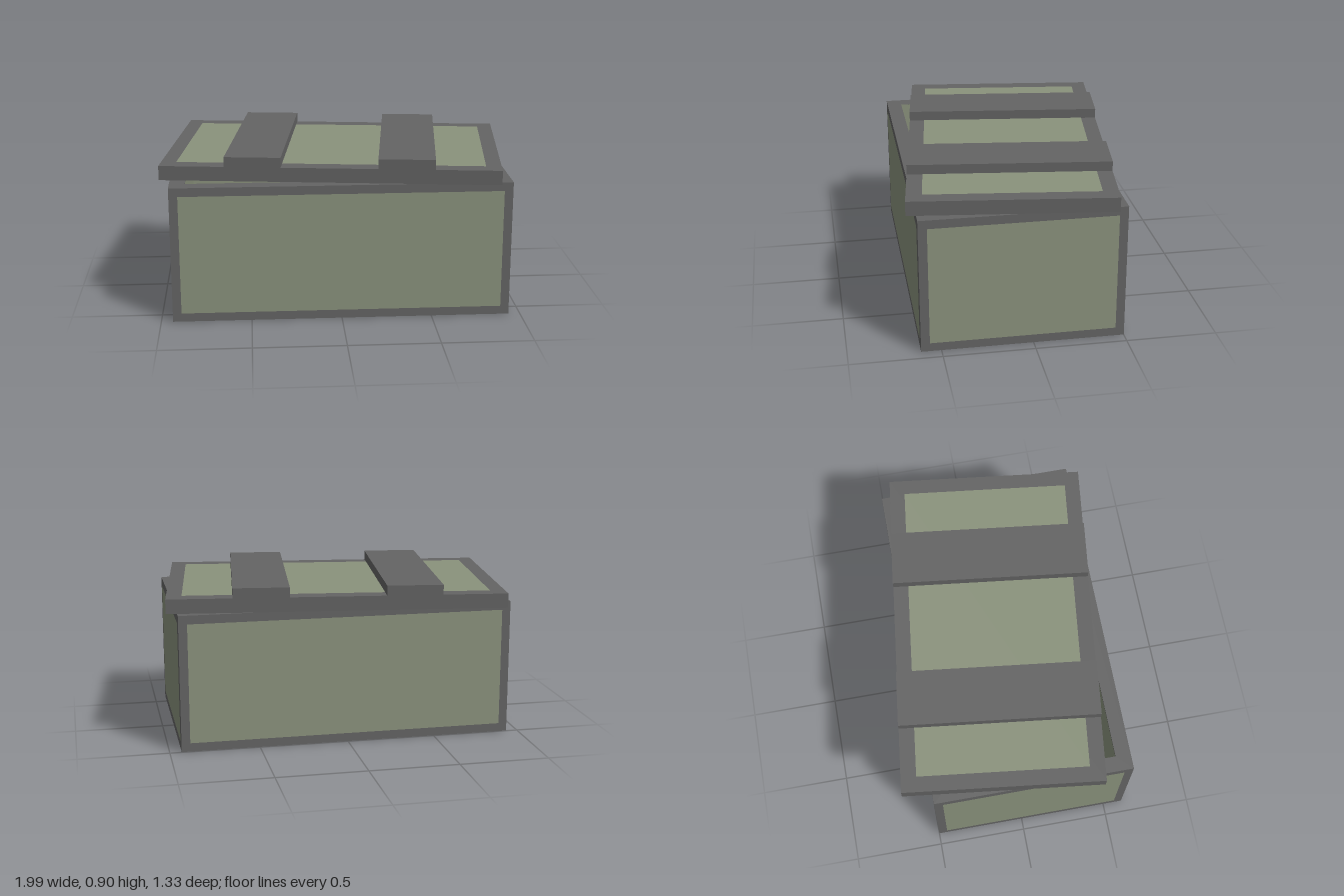
import * as THREE from 'three';

const W = 1.87, D = 1.11, H = 0.765;   // crate footprint and height
const RIM = 0.085, EDGE = 0.048;       // wall thickness, side frame width
const LID = 0.08, STRAP = 0.055;       // lid and strap thickness
const GAP = 0.0015;                    // panels sit just proud of the frame

const frameMat = new THREE.MeshStandardMaterial({ color: 0x646464 });
const panelMat = new THREE.MeshStandardMaterial({ color: 0x8a927c });

function add(parent, name, geometry, material, pos, rot = [0, 0, 0]) {
  const mesh = new THREE.Mesh(geometry, material);
  mesh.name = name;
  mesh.position.set(...pos);
  mesh.rotation.set(...rot);
  parent.add(mesh);
  return mesh;
}

const panel = (parent, name, w, h, pos, rot) =>
  add(parent, name, new THREE.PlaneGeometry(w, h), panelMat, pos, rot);

function rectangle(Type, w, d) {
  const r = new Type();
  r.moveTo(-w / 2, -d / 2);
  r.lineTo(w / 2, -d / 2);
  r.lineTo(w / 2, d / 2);
  r.lineTo(-w / 2, d / 2);
  r.closePath();
  return r;
}

export function createModel() {
  const model = new THREE.Group();
  model.name = 'crate';
  const up = -Math.PI / 2, down = Math.PI / 2;
  const iw = W - 2 * RIM, id = D - 2 * RIM;

  // Hollow body, open at the top
  const body = new THREE.Group();
  body.name = 'body';
  body.position.z = 0.055;
  model.add(body);

  const outline = rectangle(THREE.Shape, W, D);
  outline.holes.push(rectangle(THREE.Path, iw, id));
  const walls = new THREE.ExtrudeGeometry(outline, { depth: H, bevelEnabled: false });
  walls.rotateX(up);
  add(body, 'walls', walls, frameMat, [0, 0, 0]);
  add(body, 'floor', new THREE.BoxGeometry(iw, RIM, id), frameMat, [0, RIM / 2, 0]);

  // Outer panels and inner lining, mirrored on opposite walls
  const ph = H - 2 * EDGE, liningH = H - RIM, liningY = RIM + liningH / 2;
  for (const s of [1, -1]) {
    const faceZ = [0, s > 0 ? 0 : Math.PI, 0], backZ = [0, s > 0 ? Math.PI : 0, 0];
    const faceX = [0, s * Math.PI / 2, 0], backX = [0, -s * Math.PI / 2, 0];
    panel(body, 'longSidePanel', W - 2 * EDGE, ph, [0, H / 2, s * (D / 2 + GAP)], faceZ);
    panel(body, 'endPanel', D - 2 * EDGE, ph, [s * (W / 2 + GAP), H / 2, 0], faceX);
    panel(body, 'longSideLining', iw, liningH, [0, liningY, s * (id / 2 - GAP)], backZ);
    panel(body, 'endLining', id, liningH, [s * (iw / 2 - GAP), liningY, 0], backX);
  }
  panel(body, 'floorLining', iw, id, [0, RIM + GAP, 0], [up, 0, 0]);
  panel(body, 'bottomPanel', iw, id, [0, -GAP, 0], [down, 0, 0]);

  // Lid, turned askew on the body
  const lid = new THREE.Group();
  lid.name = 'lid';
  lid.position.y = H;
  lid.rotation.y = -0.12;
  model.add(lid);
  add(lid, 'lidBoard', new THREE.BoxGeometry(W, LID, D), frameMat, [0, LID / 2, 0]);
  panel(lid, 'lidTopPanel', iw, id, [0, LID + GAP, 0], [up, 0, 0]);
  panel(lid, 'lidUndersidePanel', iw, id, [0, -GAP, 0], [down, 0, 0]);

  // Two straps across the lid
  for (const s of [1, -1]) {
    add(lid, 'strap', new THREE.BoxGeometry(0.31, STRAP, D), frameMat,
      [s * 0.42, LID + STRAP / 2, 0]);
  }
  return model;
}
